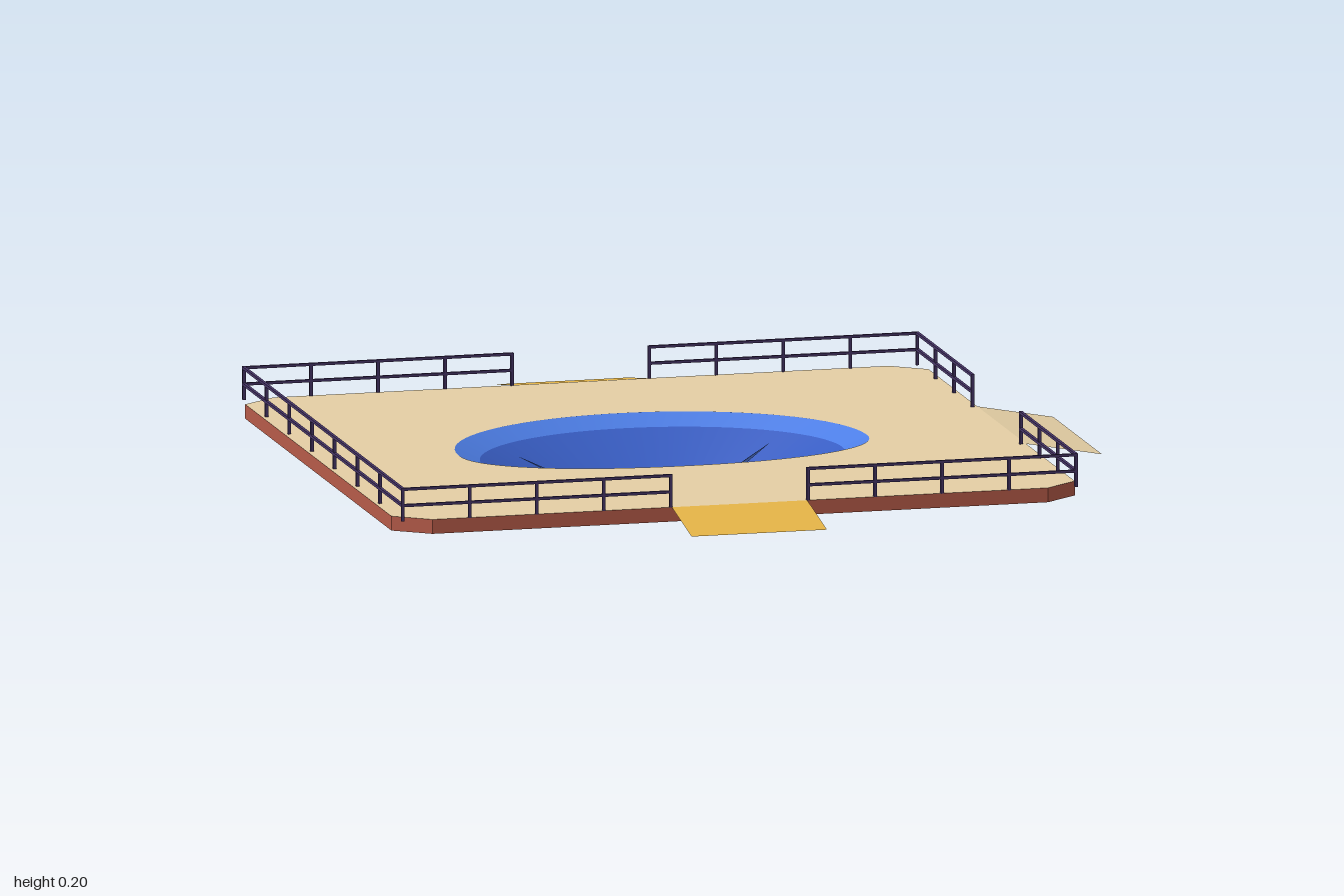
import * as THREE from 'three';

const TOP = 0.116, BOTTOM = 0.079, CX = -0.1;

function material(name, color) {
  const m = new THREE.MeshStandardMaterial({ color, side: THREE.DoubleSide });
  m.name = name;
  return m;
}

// Egg-shaped ring: deep and round at the back, shallow and fuller at the front
function ring(a, back, front, zc, n = 72) {
  return Array.from({ length: n }, (_, i) => {
    const t = (i / n) * Math.PI * 2, c = Math.cos(t), s = Math.sin(t);
    const power = s > 0 ? 0.92 : 1;
    const bulge = (v) => Math.sign(v) * Math.abs(v) ** power;
    return [CX + a * bulge(c), zc + bulge(s) * (s > 0 ? front : back)];
  });
}

// Closed band between an upper and a lower ring
function band(upper, yUpper, lower, yLower, flat = false) {
  const n = upper.length, pos = [], index = [];
  for (let i = 0; i < n; i++) {
    pos.push(upper[i][0], yUpper, upper[i][1], lower[i][0], yLower, lower[i][1]);
    const a = 2 * i, b = 2 * ((i + 1) % n);
    index.push(a, b, a + 1, b, b + 1, a + 1);
  }
  let g = new THREE.BufferGeometry();
  g.setAttribute('position', new THREE.Float32BufferAttribute(pos, 3));
  g.setIndex(index);
  if (flat) g = g.toNonIndexed();
  g.computeVertexNormals();
  return g;
}

// Horizontal sheet with an optional hole
function sheet(outline, y, hole) {
  const points = (list) => list.map(([x, z]) => new THREE.Vector2(x, z));
  const shape = new THREE.Shape(points(outline));
  if (hole) shape.holes.push(new THREE.Path(points(hole)));
  return new THREE.ShapeGeometry(shape).rotateX(Math.PI / 2).translate(0, y, 0);
}

// Flat polygon fan through a few points
function panel(points) {
  const g = new THREE.BufferGeometry();
  const pos = [];
  for (let i = 1; i < points.length - 1; i++) pos.push(...points[0], ...points[i], ...points[i + 1]);
  g.setAttribute('position', new THREE.Float32BufferAttribute(pos, 3));
  g.computeVertexNormals();
  return g;
}

export function createModel() {
  const model = new THREE.Group();
  model.name = 'bowlPlatform';
  const sand = material('sand deck', 0xe5cfa5);
  const brick = material('brick edge', 0xb65b49);
  const gold = material('gold ramp', 0xe6b548);
  const rimBlue = material('rim blue', 0x4d7ee6);
  const wallBlue = material('wall blue', 0x385dc3);
  const floorBlue = material('floor indigo', 0x2c3b7c);
  const creaseBlue = material('crease navy', 0x28427f);
  const railDark = material('rail purple', 0x463466);

  const add = (name, geometry, mat, parent = model) => {
    const mesh = new THREE.Mesh(geometry, mat);
    mesh.name = name;
    parent.add(mesh);
    return mesh;
  };

  // Thin deck with clipped corners and a skirt around its edge, open below
  const corners = [
    [-0.9, -0.802], [0.705, -0.802], [0.792, -0.735], [0.792, 0.735],
    [0.705, 0.802], [-0.9, 0.802], [-0.99, 0.735], [-0.99, -0.735],
  ];
  const rim = ring(0.532, 0.423, 0.267, 0.033);
  const lip = ring(0.468, 0.368, 0.232, 0.033);
  const floor = ring(0.28, 0.175, 0.105, 0.015);
  add('deck', sheet(corners, TOP, rim), sand);
  add('deckEdge', band(corners, TOP, corners, BOTTOM, true), brick);

  // Sunken bowl
  add('bowlRim', band(rim, TOP, lip, 0.088), rimBlue);
  add('bowlWall', band(lip, 0.088, floor, 0), wallBlue);
  add('bowlFloor', sheet(floor, 0), floorBlue);

  // Slim creases on the bowl wall, mirrored left and right
  for (const side of [-1, 1]) {
    const at = (dx, y, z) => [CX + side * dx, y, z];
    add('backCrease', panel([
      at(0.33, 0.067, -0.165), at(0.255, 0.029, -0.112), at(0.19, 0.006, -0.088), at(0.27, 0.039, -0.14),
    ]), creaseBlue);
    add('frontCrease', panel([
      at(0.28, 0.03, 0.115), at(0.22, 0.02, 0.115), at(0.16, 0.008, 0.095), at(0.23, 0.02, 0.1),
    ]), creaseBlue);
  }

  // Ramps sloping down from the deck
  for (const s of [-1, 1]) {
    add(s > 0 ? 'frontRamp' : 'backRamp', panel([
      [-0.276, TOP, 0.802 * s], [-0.276, BOTTOM, s], [0.077, BOTTOM, s], [0.077, TOP, 0.802 * s],
    ]), gold);
  }
  add('sideRamp', panel([
    [0.792, TOP, -0.246], [0.792, TOP, 0.246], [0.99, BOTTOM, 0.246], [0.99, BOTTOM, -0.246],
  ]), sand);

  // Railings: evenly spaced posts with two horizontal bars
  const T = 0.008;
  function railing(name, [x0, z0], [x1, z1], spans) {
    const group = new THREE.Group();
    group.name = name;
    for (let i = 0; i <= spans; i++) {
      const t = i / spans;
      add('post', new THREE.BoxGeometry(T, 0.085, T), railDark, group)
        .position.set(x0 + (x1 - x0) * t, 0.1575, z0 + (z1 - z0) * t);
    }
    for (const y of [0.155, 0.197]) {
      add('bar', new THREE.BoxGeometry(Math.abs(x1 - x0) + T, 0.007, Math.abs(z1 - z0) + T), railDark, group)
        .position.set((x0 + x1) / 2, y, (z0 + z1) / 2);
    }
    model.add(group);
  }
  for (const s of [-1, 1]) {
    const z = 0.799 * s, end = s > 0 ? 'front' : 'back';
    railing(end + 'RightRailing', [-0.977, z], [-0.278, z], 4);
    railing(end + 'LeftRailing', [0.08, z], [0.779, z], 4);
    railing(end + 'SideRailing', [0.779, 0.244 * s], [0.779, z], 3);
  }
  railing('longSideRailing', [-0.977, -0.799], [-0.977, 0.799], 7);

  return model;
}
